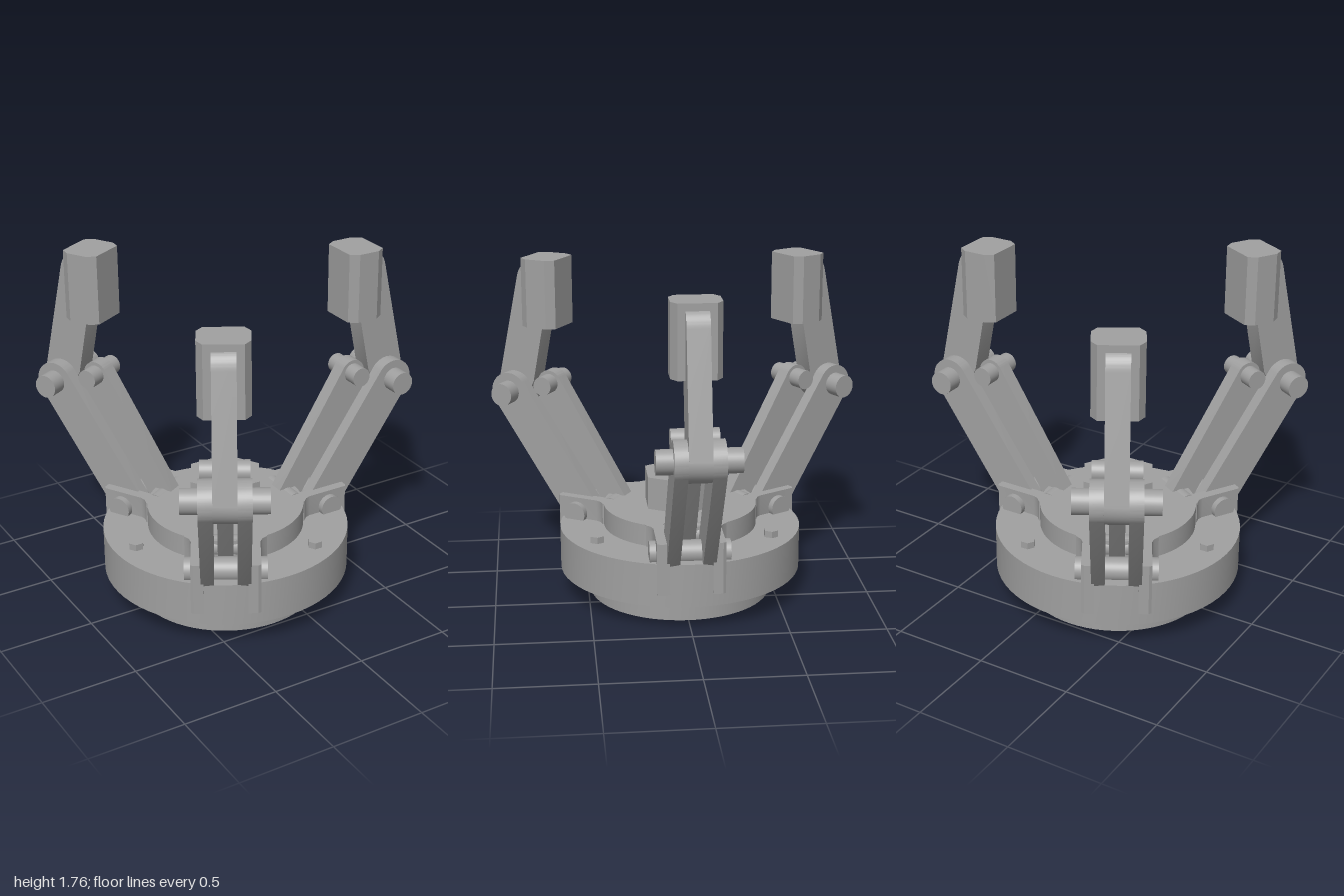
import * as THREE from 'three';
import { toCreasedNormals } from 'three/addons/utils/BufferGeometryUtils.js';

const steel = new THREE.MeshStandardMaterial({ color: 0xa0a0a0 });
steel.name = 'grey steel';

function add(parent, name, geometry) {
  const mesh = new THREE.Mesh(toCreasedNormals(geometry, 0.5), steel);
  mesh.name = name;
  parent.add(mesh);
  return mesh;
}

// Upright disc or prism between two heights
function disc(parent, name, radius, y0, y1, sides = 64) {
  const mesh = add(parent, name, new THREE.CylinderGeometry(radius, radius, y1 - y0, sides));
  mesh.position.y = (y0 + y1) / 2;
  if (sides === 6) mesh.rotation.y = Math.PI / 2;
  return mesh;
}

// Pin lying along z, centred on the arm
function pin(parent, name, x, y, radius, half) {
  const geometry = new THREE.CylinderGeometry(radius, radius, half * 2, 32).rotateX(Math.PI / 2);
  add(parent, name, geometry).position.set(x, y, 0);
}

// Side profile extruded from z0 to z1
function plate(parent, name, shape, z0, z1) {
  const geometry = new THREE.ExtrudeGeometry(shape, { depth: z1 - z0, bevelEnabled: false, curveSegments: 20 });
  add(parent, name, geometry.translate(0, 0, z0));
}

// Plan outline (x, z) extruded between two heights
function slab(parent, name, points, y0, y1) {
  const shape = new THREE.Shape(points.map(([x, z]) => new THREE.Vector2(x, -z)));
  const geometry = new THREE.ExtrudeGeometry(shape, { depth: y1 - y0, bevelEnabled: false });
  add(parent, name, geometry.rotateX(-Math.PI / 2).translate(0, y0, 0));
}

// Round-ended bar profile
function barShape(x1, y1, x2, y2, r) {
  const a = Math.atan2(y2 - y1, x2 - x1), q = Math.PI / 2;
  const s = new THREE.Shape();
  s.absarc(x2, y2, r, a - q, a + q);
  s.absarc(x1, y1, r, a + q, a + 3 * q);
  s.closePath();
  return s;
}

function makeArm() {
  const arm = new THREE.Group();

  // Clevis bracket on the flange, with a tab hooking over its rim
  for (const s of [-1, 1]) {
    slab(arm, 'bracket', [[0.1, 0.11], [0.45, 0.11], [0.45, 0.16], [0.435, 0.175],
      [0.22, 0.175], [0.19, 0.185], [0.165, 0.21], [0.1, 0.21]].map(([x, z]) => [x, z * s]), 0.36, 0.485);
    slab(arm, 'bracketTab', [[0.4, 0.11], [0.455, 0.11], [0.455, 0.16], [0.445, 0.175],
      [0.4, 0.175]].map(([x, z]) => [x, z * s]), 0.21, 0.485);
  }

  // Parallel links
  const outer = barShape(0.34, 0.4, 0.775, 1.02, 0.105);
  plate(arm, 'outerLink', outer, 0.058, 0.125);
  plate(arm, 'outerLink', outer, -0.125, -0.058);
  plate(arm, 'innerLink', barShape(0.165, 0.43, 0.57, 1.07, 0.07), -0.04, 0.04);

  // Pivots
  pin(arm, 'outerLowerPin', 0.34, 0.4, 0.062, 0.208);
  pin(arm, 'innerLowerPin', 0.165, 0.435, 0.055, 0.12);
  pin(arm, 'outerUpperPin', 0.775, 1.02, 0.062, 0.208);
  pin(arm, 'innerUpperPin', 0.57, 1.07, 0.052, 0.12);
  pin(arm, 'knuckle', 0.775, 1.02, 0.105, 0.124);

  // Tapered finger with a rounded top
  const finger = new THREE.Shape();
  finger.moveTo(0.878, 1.04);
  finger.lineTo(0.743, 1.65);
  finger.quadraticCurveTo(0.725, 1.73, 0.66, 1.73);
  finger.lineTo(0.57, 1.73);
  finger.lineTo(0.593, 1.39);
  finger.lineTo(0.658, 1.07);
  finger.lineTo(0.72, 0.96);
  finger.lineTo(0.8, 0.95);
  plate(arm, 'finger', finger, -0.057, 0.057);

  // Chamfered grip pad
  slab(arm, 'gripPad', [[0.49, 0.095], [0.535, 0.125], [0.65, 0.125], [0.695, 0.095],
    [0.695, -0.095], [0.65, -0.125], [0.535, -0.125], [0.49, -0.095]], 1.39, 1.76);
  return arm;
}

export function createModel() {
  const model = new THREE.Group();
  model.name = 'threeFingerGripper';
  const hub = new THREE.Group();
  hub.name = 'hub';
  hub.position.x = -0.195;
  model.add(hub);

  // Stepped base and central hexagon
  disc(hub, 'foot', 0.485, 0, 0.14);
  disc(hub, 'flange', 0.645, 0.14, 0.37);
  disc(hub, 'upperDisc', 0.41, 0.37, 0.485);
  disc(hub, 'hexHead', 0.206, 0.485, 0.66, 6);

  // Three arms with a bolt between each pair
  for (let i = 0; i < 3; i++) {
    const turn = i * Math.PI * 2 / 3;
    const spoke = new THREE.Group();
    spoke.name = 'arm' + (i + 1);
    spoke.rotation.y = turn;
    const arm = makeArm();
    arm.name = 'armParts';
    arm.position.x = 0.195;
    spoke.add(arm);
    const bolt = disc(spoke, 'bolt', 0.04, 0.36, 0.405, 6);
    bolt.position.x = -0.53;
    hub.add(spoke);
  }
  return model;
}
